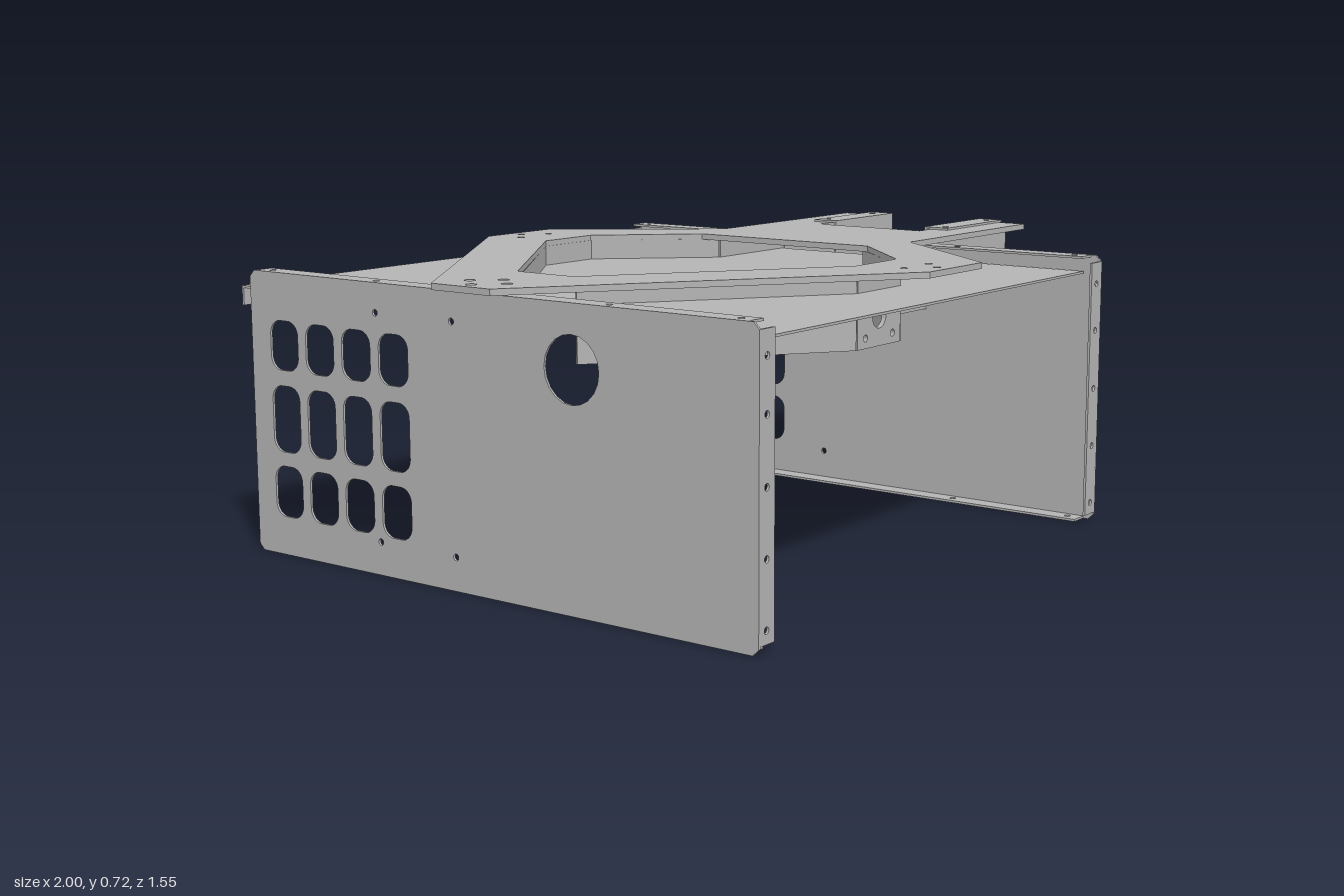
import * as THREE from 'three';

const steel = new THREE.MeshStandardMaterial({ color: 0xb4b4b4 });
steel.name = 'plain steel';
const T = 0.006;     // sheet thickness
const CZ = 0.0175;   // symmetry plane of the bracket

function circle(x, y, r) {
  const p = new THREE.Path();
  p.absarc(x, y, r, 0, Math.PI * 2, true);
  return p;
}

function roundedHole(x0, y0, x1, y1, r) {
  const p = new THREE.Path();
  p.absarc(x1 - r, y1 - r, r, 0, Math.PI / 2, false);
  p.absarc(x0 + r, y1 - r, r, Math.PI / 2, Math.PI, false);
  p.absarc(x0 + r, y0 + r, r, Math.PI, Math.PI * 1.5, false);
  p.absarc(x1 - r, y0 + r, r, Math.PI * 1.5, Math.PI * 2, false);
  p.closePath();
  return p;
}

function polygon(pts) {
  return new THREE.Shape(pts.map(([x, y]) => new THREE.Vector2(x, y)));
}

function rect(x0, y0, x1, y1) {
  return polygon([[x0, y0], [x1, y0], [x1, y1], [x0, y1]]);
}

function sheet(name, shape, holes = [], depth = T) {
  shape.holes.push(...holes);
  const geo = new THREE.ExtrudeGeometry(shape, { depth, bevelEnabled: false, curveSegments: 10 });
  const mesh = new THREE.Mesh(geo, steel);
  mesh.name = name;
  return mesh;
}

// Horizontal sheet drawn in (x, z), with its upper face at height top
function flat(name, shape, holes, top, depth = T) {
  const m = sheet(name, shape, holes, depth);
  m.rotation.x = Math.PI / 2;
  m.position.y = top;
  return m;
}

// Side panel drawn in (z, y) with inward flanges; dir points inward along x
function sidePanel(name, outerX, dir, notched) {
  const g = new THREE.Group();
  g.name = name;
  const z0 = -0.733, z1 = 0.774, top = 0.69, c = 0.015;
  const s = new THREE.Shape();
  s.moveTo(z0 + c, 0);
  s.lineTo(z1 - c, 0);
  s.lineTo(z1, c);
  s.lineTo(z1, top - c);
  s.lineTo(z1 - c, top);
  const cz = 0.28, cy = 0.545, r = 0.077;
  const holes = [];
  if (notched) {
    // arm notch that runs into the round cable hole
    s.lineTo(0.255, top);
    s.absarc(cz, cy, r, Math.atan2(0.073, -0.025), Math.atan2(-0.035, -0.0686) + Math.PI * 2, false);
    s.lineTo(-0.21, 0.51);
    s.lineTo(-0.21, top);
  } else {
    holes.push(circle(cz, cy, r), circle(-0.07, 0.62, 0.008));
  }
  s.lineTo(z0 + c, top);
  s.lineTo(z0, top - c);
  s.lineTo(z0, c);
  s.closePath();

  // vent grid
  for (const [ya, yb] of [[0.095, 0.22], [0.255, 0.417], [0.455, 0.575]])
    for (let i = 0; i < 4; i++) {
      const z = -0.302 - i * 0.1215;
      holes.push(roundedHole(z, ya, z + 0.094, yb, 0.034));
    }
  holes.push(circle(-0.07, 0.08, 0.008), circle(-0.31, 0.08, 0.008), circle(-0.31, 0.62, 0.008));

  const web = sheet('panelWeb', s, holes);
  web.rotation.y = -Math.PI / 2;
  web.position.x = dir < 0 ? outerX : outerX + T;
  g.add(web);

  const xa = Math.min(outerX, outerX + dir * 0.055), xb = xa + 0.055, xm = (xa + xb) / 2;
  // front and back upright flanges
  for (const z of [z0, z1 - T]) {
    const f = sheet('uprightFlange', rect(xa, 0.02, xb, 0.675),
      [0.05, 0.2, 0.35, 0.5, 0.62].map(y => circle(xm, y, 0.008)));
    f.position.z = z;
    g.add(f);
  }
  // top flange, split where the arm passes, and bottom flange
  const runs = notched ? [[-0.717, -0.21], [0.255, 0.745]] : [[-0.717, 0.745]];
  for (const [a, b] of runs)
    g.add(flat('topFlange', rect(xa, a, xb, b),
      [-0.68, -0.33, 0.365, 0.71].filter(z => z > a && z < b).map(z => circle(xm, z, 0.008)), top));
  g.add(flat('bottomFlange', rect(xa, -0.717, xb, 0.745),
    [-0.68, -0.33, 0.365, 0.71].map(z => circle(xm, z, 0.008)), T));
  return g;
}

// Upright wall between two plan points
function wall(name, [ax, az], [bx, bz], y0, y1, depth, holes) {
  const len = Math.hypot(bx - ax, bz - az);
  const m = sheet(name, rect(0, y0, len, y1), holes, depth);
  m.geometry.translate(0, 0, -depth / 2);
  m.rotation.y = -Math.atan2(bz - az, bx - ax);
  m.position.set(ax, 0, az);
  return m;
}

function mirrored(half) {
  return [...half, ...half.map(([x, z]) => [x, -z]).reverse()];
}

function bracket() {
  const g = new THREE.Group();
  g.name = 'hexagonBracket';
  g.position.z = CZ;
  // top plate with hexagonal opening and open slot in the arm
  const outline = mirrored([[0.64, 0.165], [0.985, 0.165], [0.985, 0.3], [0.37, 0.3],
    [0.07, 0.685], [-0.17, 0.685], [-1, 0.0875]]);
  const opening = [[-0.72, 0.085], [-0.17, 0.4825], [0.01, 0.4825], [0.22, 0.265]];
  const holes = [polygon(mirrored(opening)),
    circle(-0.965, 0, 0.013), circle(-0.86, 0, 0.013),
    circle(-0.91, 0.055, 0.013), circle(-0.91, -0.055, 0.013)];
  for (const s of [1, -1])
    for (const [x, z] of [[-0.08, 0.65], [-0.14, 0.597], [-0.03, 0.597]])
      holes.push(circle(x, s * z, 0.009));
  g.add(flat('bracketPlate', polygon(outline), holes, 0.712, 0.015));

  // stiffening walls under the opening and along the arm
  const path = [[-0.72, 0.09], [-0.175, 0.487], [0.015, 0.487], [0.255, 0.235], [0.985, 0.235]];
  for (const s of [1, -1])
    for (let i = 0; i < 4; i++) {
      const wallHoles = [];
      if (i === 1) {
        wallHoles.push(circle(0.095, 0.585, 0.03));
        for (const dx of [-0.06, 0.06])
          for (const dy of [-0.048, 0.048]) wallHoles.push(circle(0.095 + dx, 0.585 + dy, 0.009));
      }
      const [a, b] = [path[i], path[i + 1]].map(([x, z]) => [x, s * z]);
      g.add(wall(i === 3 ? 'armWall' : 'stiffenerWall', a, b, 0.512, 0.698, 0.012, wallHoles));
    }
  return g;
}

// Sunken mounting channel at the end of the arm
function channel() {
  const g = new THREE.Group();
  g.name = 'mountingChannel';
  g.position.z = CZ;
  const x0 = 0.695, x1 = 0.998;
  const floorHoles = [circle(0.845, 0, 0.04)];
  for (const [x, z] of [[0.75, 0], [0.845, 0.055], [0.845, -0.09], [0.94, 0.01],
    [0.73, 0.095], [0.73, -0.095], [0.96, 0.095], [0.96, -0.095]])
    floorHoles.push(circle(x, z, 0.007));
  g.add(flat('channelFloor', rect(x0, -0.15, x1, 0.15), floorHoles, 0.594));
  for (const s of [1, -1]) {
    g.add(wall('channelWall', [x0, s * 0.15], [x1, s * 0.15], 0.588, 0.718, T));
    g.add(flat('channelFlange', rect(x0, Math.min(s * 0.147, s * 0.22), x1, Math.max(s * 0.147, s * 0.22)),
      [circle(0.73, s * 0.193, 0.009), circle(0.96, s * 0.193, 0.009)], 0.718));
  }
  return g;
}

export function createModel() {
  const model = new THREE.Group();
  model.name = 'sheetMetalFrame';
  model.add(sidePanel('leftPanel', 0.56, -1, true));
  model.add(sidePanel('rightPanel', -0.94, 1, false));

  // deck between the panels, with a lip folded down at the back
  model.add(flat('deck', rect(-0.93, -0.775, 0.545, 0.73), [], 0.648));
  const lip = sheet('deckLip', rect(-0.93, 0.6, 0.545, 0.645));
  lip.position.z = -0.775;
  model.add(lip);

  model.add(bracket(), channel());
  return model;
}
